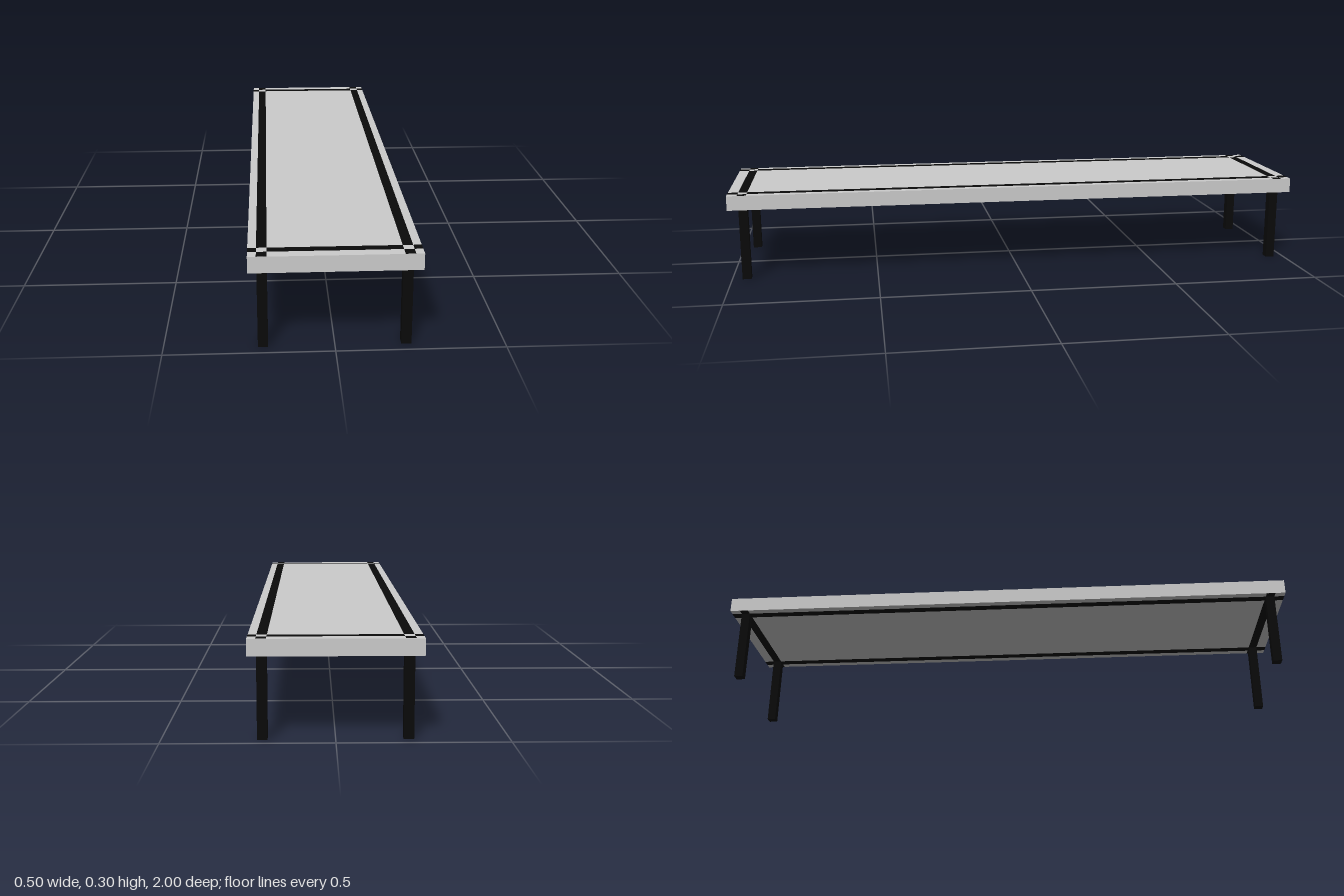
import * as THREE from 'three';

const HALF_W = 0.25, HALF_L = 1, TOP = 0.3, SLAB = 0.05;
const LEG = 0.03, LEG_X = 0.21, LEG_Z = 0.95;

export function createModel() {
  const model = new THREE.Group();
  const grey = new THREE.MeshStandardMaterial({ color: 0xcccccc });
  const black = new THREE.MeshStandardMaterial({ color: 0x0a0a0a });

  const add = (name, geometry, material, x, y, z) => {
    const mesh = new THREE.Mesh(geometry, material);
    mesh.name = name;
    mesh.position.set(x, y, z);
    model.add(mesh);
    return mesh;
  };

  // Flat slab
  add('tabletop', new THREE.BoxGeometry(HALF_W * 2, SLAB, HALF_L * 2), grey, 0, TOP - SLAB / 2, 0);

  // Four square legs
  const legHeight = TOP - SLAB;
  for (const sx of [-1, 1]) for (const sz of [-1, 1]) {
    add('leg', new THREE.BoxGeometry(LEG, legHeight, LEG), black, sx * LEG_X, legHeight / 2, sz * LEG_Z);
  }

  // Inlaid stripes on both faces, broken where they cross above the legs
  const pieces = (half, crossing) => {
    const inner = crossing - LEG / 2, outer = crossing + LEG / 2;
    return [[-half, -outer], [-inner, inner], [outer, half]];
  };
  const stripe = (x, z, w, l, face) => {
    const y = face > 0 ? TOP + 0.0004 : TOP - SLAB - 0.0004;
    const mesh = add('inlayStripe', new THREE.PlaneGeometry(w, l), black, x, y, z);
    mesh.rotation.x = -face * Math.PI / 2;
  };
  for (const face of [1, -1]) for (const side of [-1, 1]) {
    for (const [a, b] of pieces(HALF_L, LEG_Z)) stripe(side * LEG_X, (a + b) / 2, LEG, b - a, face);
    for (const [a, b] of pieces(HALF_W, LEG_X)) stripe((a + b) / 2, side * LEG_Z, b - a, LEG, face);
  }

  return model;
}
